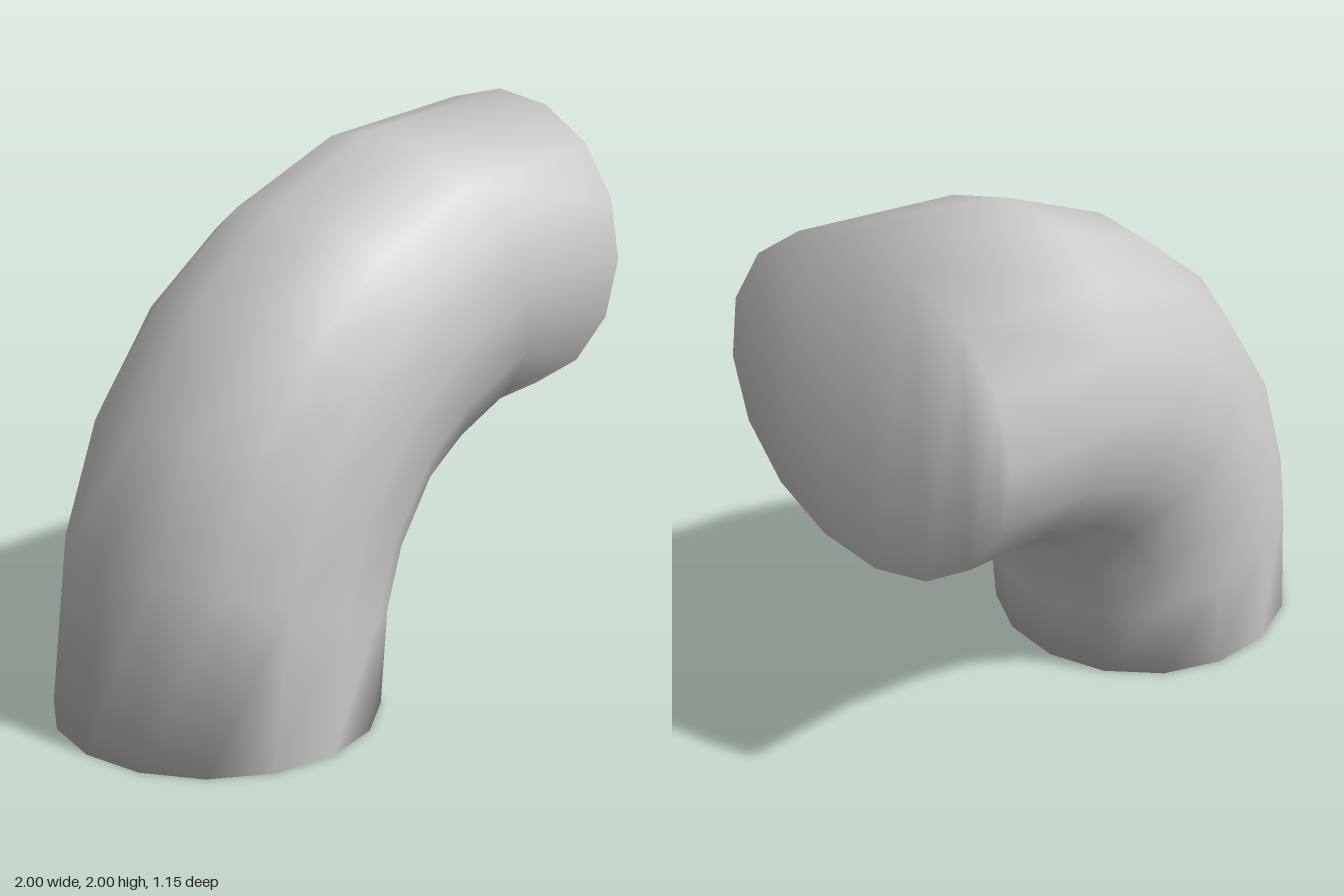
import * as THREE from 'three';

const SIDES = 16;
const RADIUS = 0.565;

// Each ring of the bend: [outer x, outer y, inner x, inner y, z shift]
const RINGS = [
  [-1, 0, 0.13, 0, 0.01],
  [-0.9, 0.63, 0.17, 0.27, -0.01],
  [-0.74, 1.05, 0.22, 0.45, -0.01],
  [-0.46, 1.43, 0.34, 0.64, -0.01],
  [-0.13, 1.69, 0.47, 0.73, -0.01],
  [0.34, 1.9, 0.69, 0.83, -0.01],
  [1, 2, 1, 0.87, 0.01],
];

function elbowGeometry() {
  const positions = [];
  const index = [];
  const at = (ring, k) => ring * SIDES + ((k + SIDES) % SIDES);

  // Round cross-sections spanning from the inner to the outer curve
  for (const [ox, oy, ix, iy, z] of RINGS) {
    for (let k = 0; k < SIDES; k++) {
      const a = (k / SIDES) * Math.PI * 2;
      const t = (1 + Math.cos(a)) / 2;
      positions.push(ix + (ox - ix) * t, iy + (oy - iy) * t, z + RADIUS * Math.sin(a));
    }
  }

  // Wall between neighbouring rings
  const last = RINGS.length - 1;
  for (let r = 0; r < last; r++) {
    for (let k = 0; k < SIDES; k++) {
      const a = at(r, k), b = at(r, k + 1), c = at(r + 1, k + 1), d = at(r + 1, k);
      index.push(a, b, c, a, c, d);
    }
  }

  // Flat end caps in parallel strips, sharing the rim so the shading stays smooth
  const cap = (ring, flip) => {
    const tri = (a, b, c) => index.push(a, flip ? c : b, flip ? b : c);
    const q = SIDES / 4, half = SIDES / 2;
    for (let m = 0; m < half; m++) {
      const a = at(ring, q - m - 1), b = at(ring, q - m);
      const c = at(ring, q + m), d = at(ring, q + m + 1);
      if (b !== c) tri(a, b, c);
      if (a !== d) tri(a, c, d);
    }
  };
  cap(0, true);
  cap(last, false);

  const geometry = new THREE.BufferGeometry();
  geometry.setAttribute('position', new THREE.Float32BufferAttribute(positions, 3));
  geometry.setIndex(index);
  geometry.computeVertexNormals();
  return geometry;
}

export function createModel() {
  const group = new THREE.Group();
  group.name = 'pipeElbow';
  const elbow = new THREE.Mesh(
    elbowGeometry(),
    new THREE.MeshStandardMaterial({ color: 0xcccccc })
  );
  elbow.name = 'bentPipe';
  group.add(elbow);
  return group;
}
